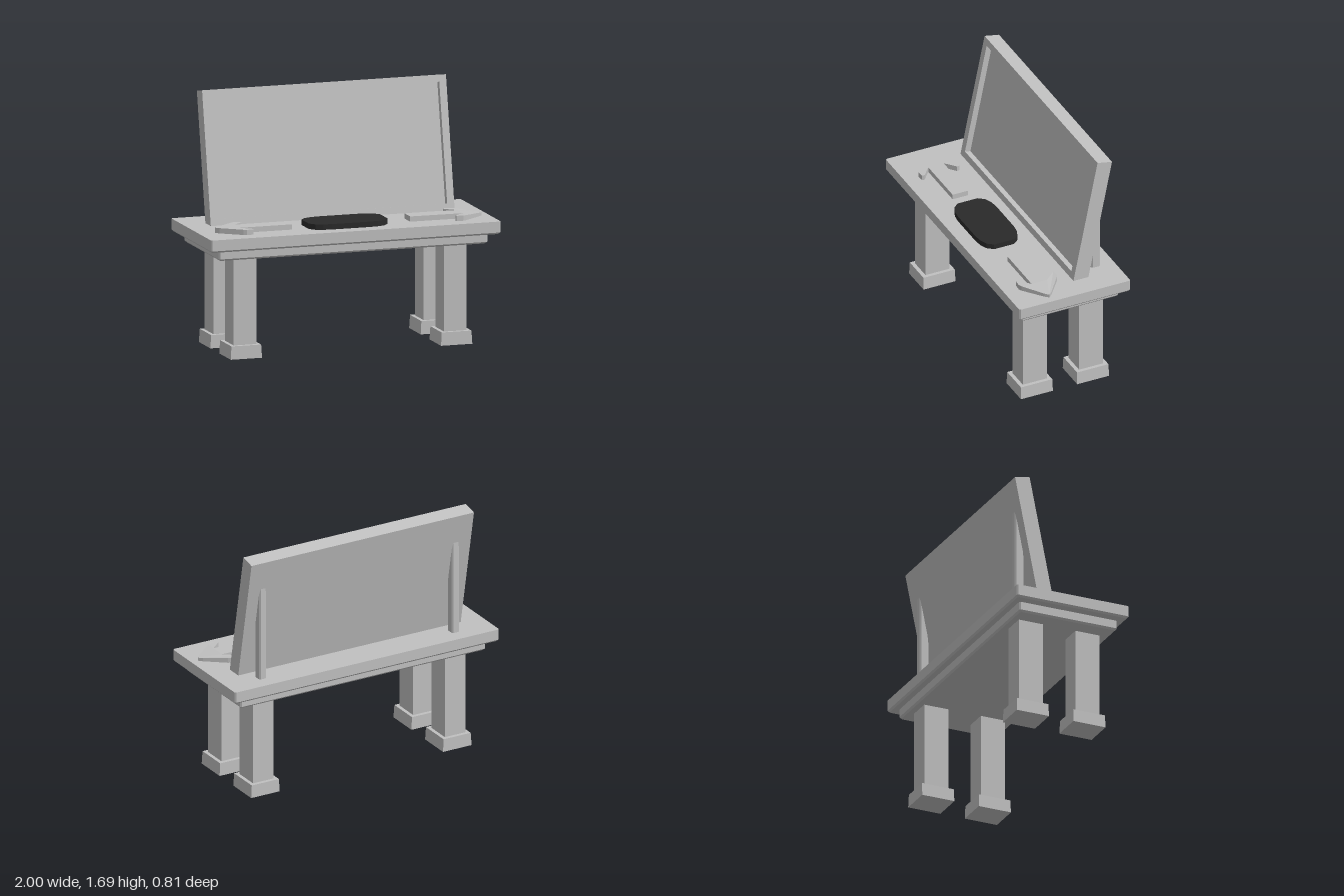
import * as THREE from 'three';

const TOP = 0.82; // height of the table surface

const grey = new THREE.MeshStandardMaterial({ color: 0xc0c0c0 });
grey.name = 'grey';
const black = new THREE.MeshStandardMaterial({ color: 0x2a2a2a });
black.name = 'black';

function add(parent, name, geometry, material, x = 0, y = 0, z = 0) {
  const mesh = new THREE.Mesh(geometry, material);
  mesh.name = name;
  mesh.position.set(x, y, z);
  parent.add(mesh);
  return mesh;
}

// Extrudes a plan outline of [x, z] points upwards from y = 0
function plate(points, height, steps = 1) {
  const shape = new THREE.Shape(points.map(([x, z]) => new THREE.Vector2(x, -z)));
  return new THREE.ExtrudeGeometry(shape, { depth: height, steps, bevelEnabled: false }).rotateX(-Math.PI / 2);
}

// Moves every vertex by a rule, then recomputes flat normals
function reshape(geometry, rule) {
  const p = geometry.attributes.position;
  const v = new THREE.Vector3();
  for (let i = 0; i < p.count; i++) {
    v.fromBufferAttribute(p, i);
    rule(v);
    p.setXYZ(i, v.x, v.y, v.z);
  }
  const flat = geometry.index ? geometry.toNonIndexed() : geometry;
  flat.computeVertexNormals();
  return flat;
}

// Rectangle with cut corners, given as half sizes and corner cuts
function cutRect(w, d, cx, cz) {
  return [
    [w - cx, d], [w, d - cz], [w, cz - d], [w - cx, -d],
    [cx - w, -d], [-w, cz - d], [-w, d - cz], [cx - w, d],
  ];
}

// Slab whose lower edge is bevelled
function slab(w, d, height, bevel) {
  const geometry = plate(cutRect(w, d, 0.01, 0.01), height, 2);
  return reshape(geometry, (v) => {
    if (v.y < 1e-4) {
      v.x -= Math.sign(v.x) * bevel;
      v.z -= Math.sign(v.z) * bevel;
    } else if (v.y < height - 1e-4) v.y = bevel;
  });
}

// Arrow pointing along +x, with a swept, blunt-ended head
function arrow(droop) {
  const half = [[-0.255, -0.056], [0.108, -0.056], [0.035, -0.118], [0.038, -0.135], [0.085, -0.138], [0.105, -0.128], [0.235, -0.025]];
  const mirrored = half.map(([x, z]) => [x, -z]).reverse();
  const geometry = plate([...half, [0.258, 0], ...mirrored], 0.035);
  return reshape(geometry, (v) => {
    if (v.y > 0.01 && v.x > 0.09) v.y -= (v.x - 0.09) * droop;
  });
}

function createModel() {
  const model = new THREE.Group();
  model.name = 'tableWithScreen';

  // Table top and the smaller slab beneath it
  add(model, 'tableTop', slab(1, 0.403, 0.085, 0.012), grey, 0, 0.735, 0);
  add(model, 'underSlab', slab(0.928, 0.352, 0.072, 0.012), grey, 0, 0.668, 0);

  // Four legs, each on a slightly tapered foot
  for (const side of [-1, 1]) {
    for (const z of [0.196, -0.212]) {
      const leg = new THREE.Group();
      leg.name = (z > 0 ? 'front' : 'back') + (side > 0 ? 'LeftLeg' : 'RightLeg');
      leg.position.set(side * 0.726, 0, z);
      model.add(leg);
      add(leg, 'post', new THREE.BoxGeometry(0.156, 0.6, 0.175), grey, 0, 0.38, 0);
      const foot = reshape(new THREE.BoxGeometry(0.216, 0.088, 0.232), (v) => {
        if (v.y > 0) {
          v.x *= 0.95;
          v.z *= 0.98;
        }
      });
      add(leg, 'foot', foot, grey, 0, 0.044, 0);
    }
  }

  // Leaning screen: hollow frame in front of a solid back
  const screen = new THREE.Group();
  screen.name = 'screen';
  screen.position.set(0, TOP, -0.065);
  screen.rotation.x = -Math.atan2(0.175, 0.87);
  model.add(screen);
  const W = 0.842, H = 0.888, depth = 0.04, back = 0.067;
  const rect = (w, y0, y1) => [[-w, y0], [w, y0], [w, y1], [-w, y1]].map(([x, y]) => new THREE.Vector2(x, y));
  const frame = new THREE.Shape(rect(W, 0, H));
  frame.holes.push(new THREE.Path(rect(0.793, 0.045, 0.842)));
  add(screen, 'frame', new THREE.ExtrudeGeometry(frame, { depth, bevelEnabled: false }), grey, 0, 0, -depth);
  add(screen, 'panel', new THREE.BoxGeometry(W * 2, H, back), grey, 0, H / 2, -depth - back / 2);

  // Upright posts running into the back of the screen
  for (const side of [-1, 1]) {
    const post = plate(cutRect(0.027, 0.032, 0.009, 0.009), 0.665);
    add(model, side > 0 ? 'leftSupport' : 'rightSupport', post, grey, side * 0.73, TOP, -0.272);
  }

  // Black pad with rounded corners
  const pad = [];
  for (const [sx, sz] of [[1, 1], [1, -1], [-1, -1], [-1, 1]]) {
    const corner = [[0.13, 0.139], [0.19, 0.132], [0.24, 0.112], [0.272, 0.072]];
    const ordered = sx * sz > 0 ? corner : corner.reverse();
    for (const [x, z] of ordered) pad.push([sx * x, sz * z]);
  }
  add(model, 'pad', plate(pad, 0.036), black, 0.003, TOP, 0.162);

  // Raised arrows pointing to either side
  add(model, 'leftArrow', arrow(0.08), grey, 0.692, TOP, 0.162);
  add(model, 'rightArrow', arrow(0), grey, -0.633, TOP, 0.162).rotation.y = Math.PI;

  return model;
}

export { createModel };
